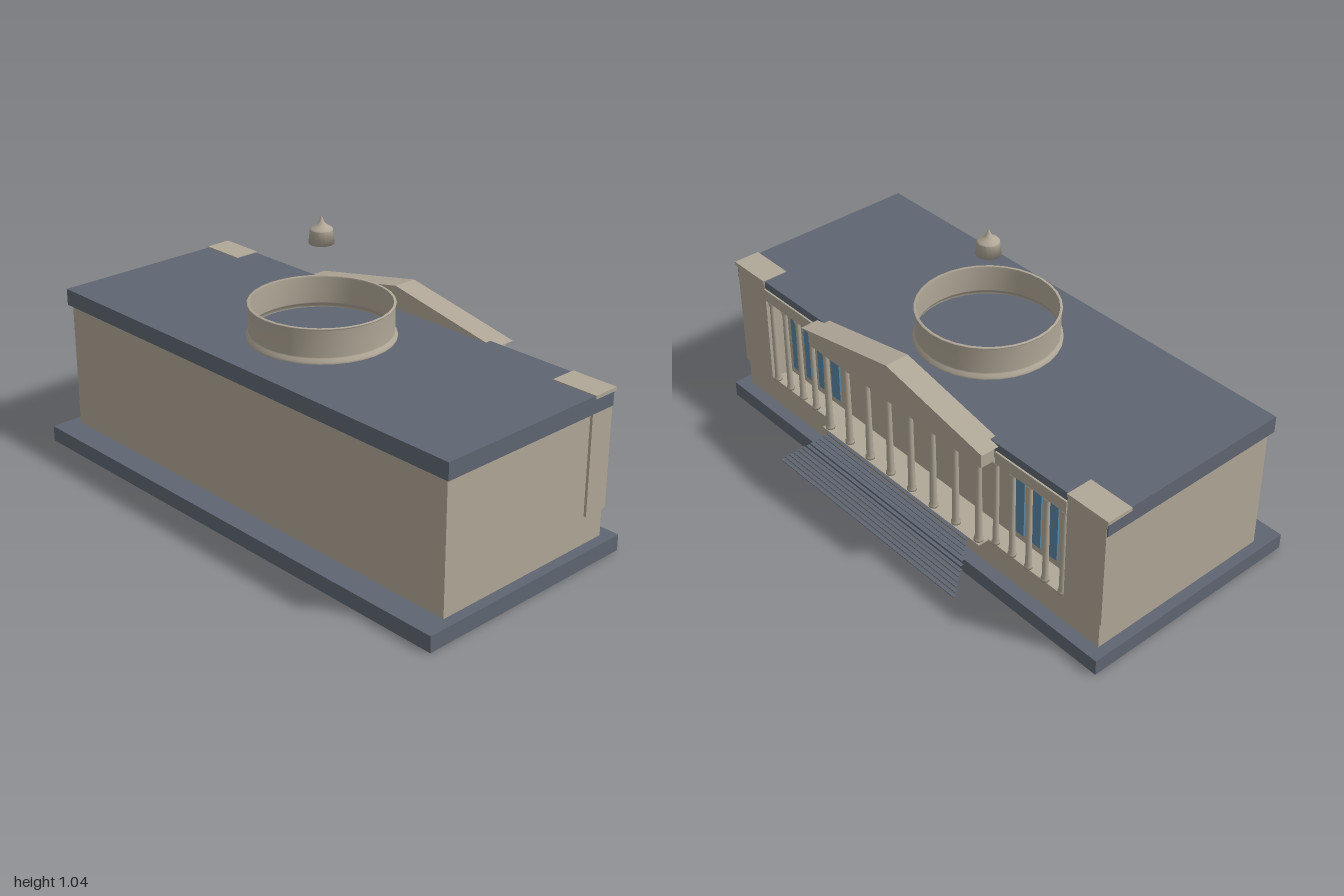
import * as THREE from 'three';

export function createModel() {
  const model = new THREE.Group();
  const mat = (name, color, side = THREE.FrontSide) => {
    const m = new THREE.MeshStandardMaterial({ color, side });
    m.name = name;
    return m;
  };
  const stone = mat('stone', 0xb0a797, THREE.DoubleSide);
  const slate = mat('slate', 0x5f6671);
  const glass = mat('glass', 0x5a86a3);

  const add = (name, geometry, material, x = 0, y = 0, z = 0) => {
    const mesh = new THREE.Mesh(geometry, material);
    mesh.name = name;
    mesh.position.set(x, y, z);
    model.add(mesh);
    return mesh;
  };
  // Box given by its limits on each axis
  const block = (name, material, x0, x1, y0, y1, z0, z1) =>
    add(name, new THREE.BoxGeometry(x1 - x0, y1 - y0, z1 - z0), material,
      (x0 + x1) / 2, (y0 + y1) / 2, (z0 + z1) / 2);
  const lathe = (points, sides) =>
    new THREE.LatheGeometry(points.map(p => new THREE.Vector2(...p)), sides);

  // Main masses: the upper hall is set back behind the colonnade
  block('base', slate, -1, 1, 0, 0.06, -0.38, 0.53);
  block('podium', stone, -0.96, 0.96, 0.06, 0.168, -0.33, 0.432);
  block('hall', stone, -0.96, 0.96, 0.168, 0.545, -0.25, 0.432);
  block('roof', slate, -0.975, 0.975, 0.545, 0.608, -0.333, 0.445);

  // Tapered column with base and capital
  const columnGeometry = r => lathe([
    [0, 0], [r * 1.3, 0], [r * 1.3, 0.01], [r, 0.016], [r * 0.8, 0.335],
    [r * 1.25, 0.35], [r * 1.25, 0.362], [0, 0.362]], 12);
  const largeColumn = columnGeometry(0.0135);
  const smallColumn = columnGeometry(0.0115);

  // Wings: end pavilion, side colonnade and windows, mirrored
  for (const s of [-1, 1]) {
    const side = (name, m, x0, x1, ...rest) =>
      block(name, m, Math.min(s * x0, s * x1), Math.max(s * x0, s * x1), ...rest);
    side('pavilion', stone, 0.80, 0.97, 0.168, 0.6, -0.335, -0.235);
    side('pavilionCap', stone, 0.80, 0.98, 0.598, 0.611, -0.339, -0.235);
    side('sideEntablature', stone, 0.47, 0.80, 0.53, 0.577, -0.34, -0.305);
    for (let i = 0; i < 5; i++) {
      add('sideColumn', smallColumn, stone, s * (0.46 + i * 0.08), 0.168, -0.323);
    }
    for (let i = 0; i < 4; i++) {
      const x = 0.50 + i * 0.08;
      side('window', glass, x - 0.025, x + 0.025, 0.2, 0.49, -0.257, -0.249);
    }
  }

  // Portico
  block('porticoFloor', stone, -0.43, 0.43, 0.163, 0.169, -0.375, -0.32);
  for (let i = 0; i < 8; i++) {
    add('porticoColumn', largeColumn, stone, -0.41 + i * 0.82 / 7, 0.168, -0.356);
  }
  block('porticoEntablature', stone, -0.46, 0.46, 0.53, 0.602, -0.391, -0.32);
  const gable = new THREE.Shape();
  gable.moveTo(-0.48, 0.6);
  gable.lineTo(0.48, 0.6);
  gable.lineTo(0, 0.695);
  gable.closePath();
  add('pediment', new THREE.ExtrudeGeometry(gable, { depth: 0.095, bevelEnabled: false }),
    stone, 0, 0, -0.405);

  // Floating stair treads that widen toward the ground
  const steps = 12;
  for (let i = 0; i < steps; i++) {
    const t = i / (steps - 1);
    const y = 0.168 - t * 0.102;
    const z = -0.384 - t * 0.143;
    const w = 0.385 + t * 0.1;
    block('stairTread', slate, -w, w, y - 0.0015, y + 0.0015, z - 0.0065, z + 0.0065);
  }

  // Open drum with a flared foot and rim
  add('drum', lathe([[0.265, 0.608], [0.265, 0.615], [0.257, 0.625], [0.255, 0.63],
    [0.255, 0.726], [0.259, 0.729], [0.259, 0.733], [0.25, 0.733]], 32), stone, 0, 0, 0.052);

  // Lantern floating above the drum
  add('lantern', lathe([[0, 0.945], [0.045, 0.945], [0.039, 0.994]], 16), stone, 0, 0, 0.052);
  add('lanternCap', lathe([[0.04, 0.994], [0.036, 1.0], [0.021, 1.008], [0.01, 1.02],
    [0.004, 1.034], [0, 1.045]], 16), stone, 0, 0, 0.052);

  return model;
}
